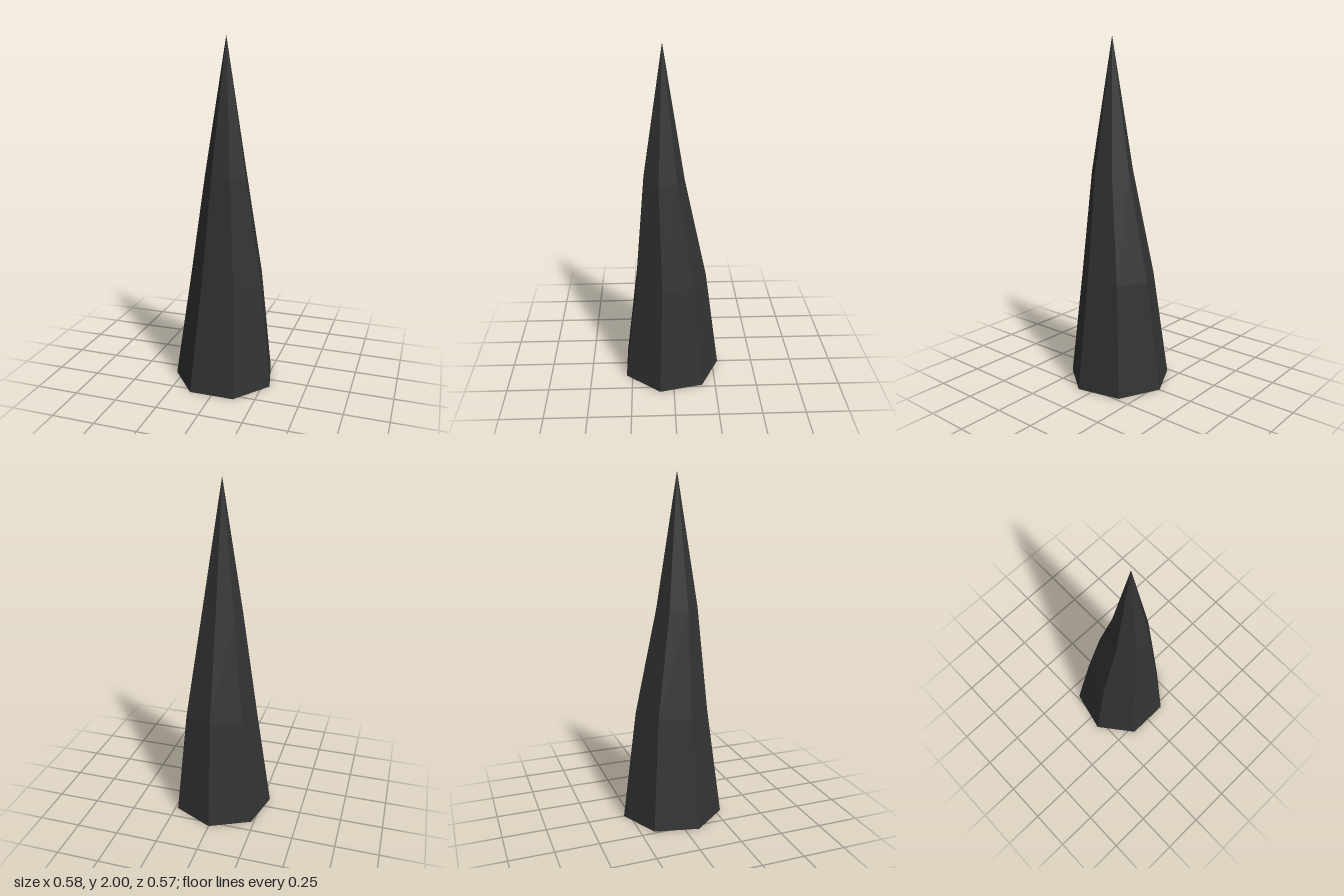
import * as THREE from 'three';

// Cross-sections from the base to the tip: height, centre x, centre z, radius
const RINGS = [
  { y: 0, x: 0, z: 0.015, r: 0.3 },
  { y: 0.64, x: 0.014, z: 0.017, r: 0.216 },
  { y: 1.25, x: 0.018, z: 0.053, r: 0.121 },
  { y: 2, x: 0.016, z: 0.054, r: 0 },
];

export function createModel() {
  const group = new THREE.Group();
  group.name = 'spike';

  const darkStone = new THREE.MeshStandardMaterial({ color: 0x333333, flatShading: true });
  darkStone.name = 'darkStone';

  // Seven-sided cone with one corner at the back, bent ring by ring
  const last = RINGS.length - 1;
  const cone = new THREE.CylinderGeometry(0, 1, 2, 7, last, false, Math.PI);
  const pos = cone.attributes.position;
  for (let i = 0; i < pos.count; i++) {
    const row = Math.round(((pos.getY(i) + 1) / 2) * last);
    const ring = RINGS[row];
    const scale = row === last ? 0 : ring.r / (1 - row / last);
    pos.setXYZ(i, ring.x + pos.getX(i) * scale, ring.y, ring.z + pos.getZ(i) * scale);
  }
  const geometry = cone.toNonIndexed();
  geometry.computeVertexNormals();

  const shard = new THREE.Mesh(geometry, darkStone);
  shard.name = 'shard';
  group.add(shard);
  return group;
}
